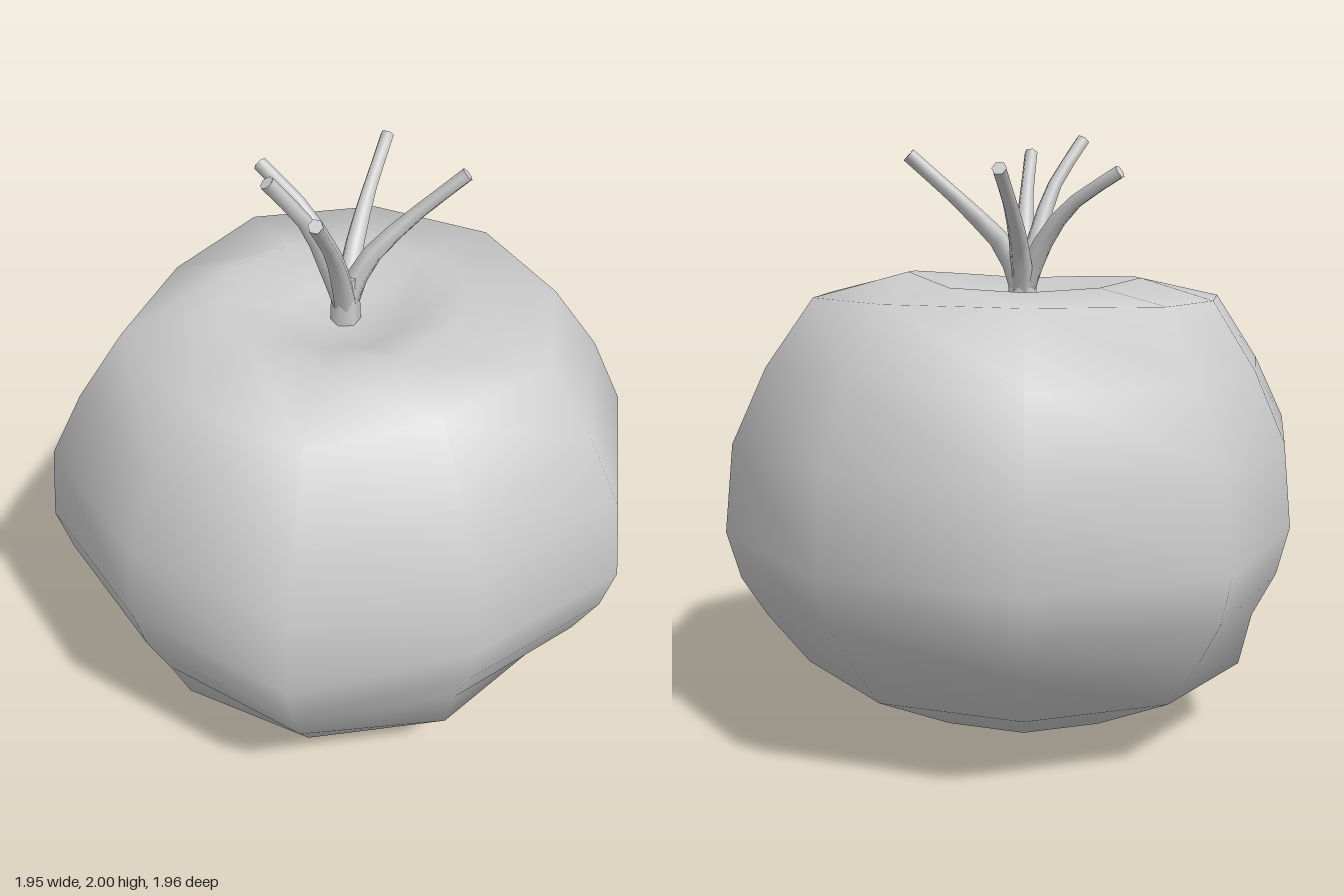
import * as THREE from 'three';
import { mergeVertices } from 'three/addons/utils/BufferGeometryUtils.js';

const SIDES = 10;
const CENTRE_X = -0.055;

// Radius and height of each ring, from the bottom pole to the dimple
const PROFILE = [
  [0, 0], [0.425, 0.06], [0.765, 0.235], [0.9, 0.41], [0.985, 0.56], [1.03, 0.72],
  [1.0, 1.0], [0.885, 1.235], [0.725, 1.46], [0.405, 1.5], [0.2, 1.44], [0, 1.42],
];
// Dents by side, counted from +x towards +z
const DENT = [1, 0.91, 1, 0.93, 1, 0.895, 1, 1, 1, 1];
// Uneven rim height by side
const RIM = [0.04, 0.02, 0, 0.01, 0.02, 0.03, 0.01, 0, 0.01, 0.05];

function smooth(geometry) {
  geometry.deleteAttribute('uv');
  geometry.deleteAttribute('normal');
  const merged = mergeVertices(geometry, 1e-4);
  merged.computeVertexNormals();
  return merged;
}

function fruitGeometry() {
  const points = PROFILE.map(([r, y]) => new THREE.Vector2(r, y));
  const geometry = new THREE.LatheGeometry(points, SIDES, Math.PI / 2);
  const pos = geometry.attributes.position;
  const rows = PROFILE.length;
  for (let i = 0; i < pos.count; i++) {
    const row = i % rows;
    const side = (SIDES - Math.floor(i / rows)) % SIDES;
    const dent = row >= 3 && row <= 8 ? DENT[side] : 1;
    const x = pos.getX(i) * dent;
    const z = pos.getZ(i) * dent;
    let y = pos.getY(i);
    if (row === 9) y += RIM[side];
    if (row === 4 || row === 5) y += z * 0.02; // widest rings tilt forward
    if (row === 7 || row === 8) y -= z * 0.025; // shoulder tilts back
    pos.setXYZ(i, x + CENTRE_X, y, z);
  }
  return smooth(geometry);
}

// Tapered twig along a bent path, closed at the tip
function twig(points, material) {
  const steps = 6, sides = 6, baseR = 0.042, tipR = 0.024;
  const curve = new THREE.CatmullRomCurve3(points.map((p) => new THREE.Vector3(...p)));
  const tube = new THREE.TubeGeometry(curve, steps, 1, sides);
  const pos = tube.attributes.position;
  const v = new THREE.Vector3();
  for (let i = 0; i < pos.count; i++) {
    const t = Math.floor(i / (sides + 1)) / steps;
    const centre = curve.getPointAt(t);
    const r = THREE.MathUtils.lerp(baseR, tipR, Math.min(1, t * 1.4));
    v.fromBufferAttribute(pos, i).sub(centre).multiplyScalar(r).add(centre);
    pos.setXYZ(i, v.x, v.y, v.z);
  }
  const group = new THREE.Group();
  group.name = 'twig';
  const branch = new THREE.Mesh(smooth(tube), material);
  branch.name = 'twigBranch';
  const cap = new THREE.Mesh(new THREE.CircleGeometry(tipR, sides), material);
  cap.name = 'twigTip';
  const tip = curve.getPointAt(1);
  cap.position.copy(tip);
  cap.lookAt(tip.clone().add(curve.getTangentAt(1)));
  group.add(branch, cap);
  return group;
}

export function createModel() {
  const material = new THREE.MeshStandardMaterial({ color: 0xcccccc });
  const model = new THREE.Group();
  model.name = 'fruitWithStem';

  const fruit = new THREE.Mesh(fruitGeometry(), material);
  fruit.name = 'fruitBody';
  model.add(fruit);

  // Short stem rising from the dimple
  const stem = new THREE.Group();
  stem.name = 'stem';
  const trunk = new THREE.Mesh(new THREE.CylinderGeometry(0.045, 0.052, 0.2, 6), material);
  trunk.name = 'stemTrunk';
  trunk.position.set(CENTRE_X, 1.49, -0.02);
  stem.add(trunk);

  // Five twigs: low joint, bend and tip
  const twigs = [
    [[-0.07, 1.6, -0.09], [-0.1, 1.73, -0.25], [-0.13, 1.88, -0.48]],
    [[-0.01, 1.62, -0.06], [0.09, 1.75, -0.14], [0.27, 1.93, -0.23]],
    [[-0.12, 1.62, -0.04], [-0.23, 1.76, -0.07], [-0.41, 1.875, -0.1]],
    [[-0.08, 1.62, 0.03], [-0.12, 1.82, 0.11], [-0.2, 1.99, 0.21]],
    [[-0.04, 1.6, 0.04], [-0.01, 1.76, 0.15], [0.025, 1.95, 0.32]],
  ];
  for (const path of twigs) stem.add(twig([[CENTRE_X, 1.48, -0.02], ...path], material));
  model.add(stem);
  return model;
}
